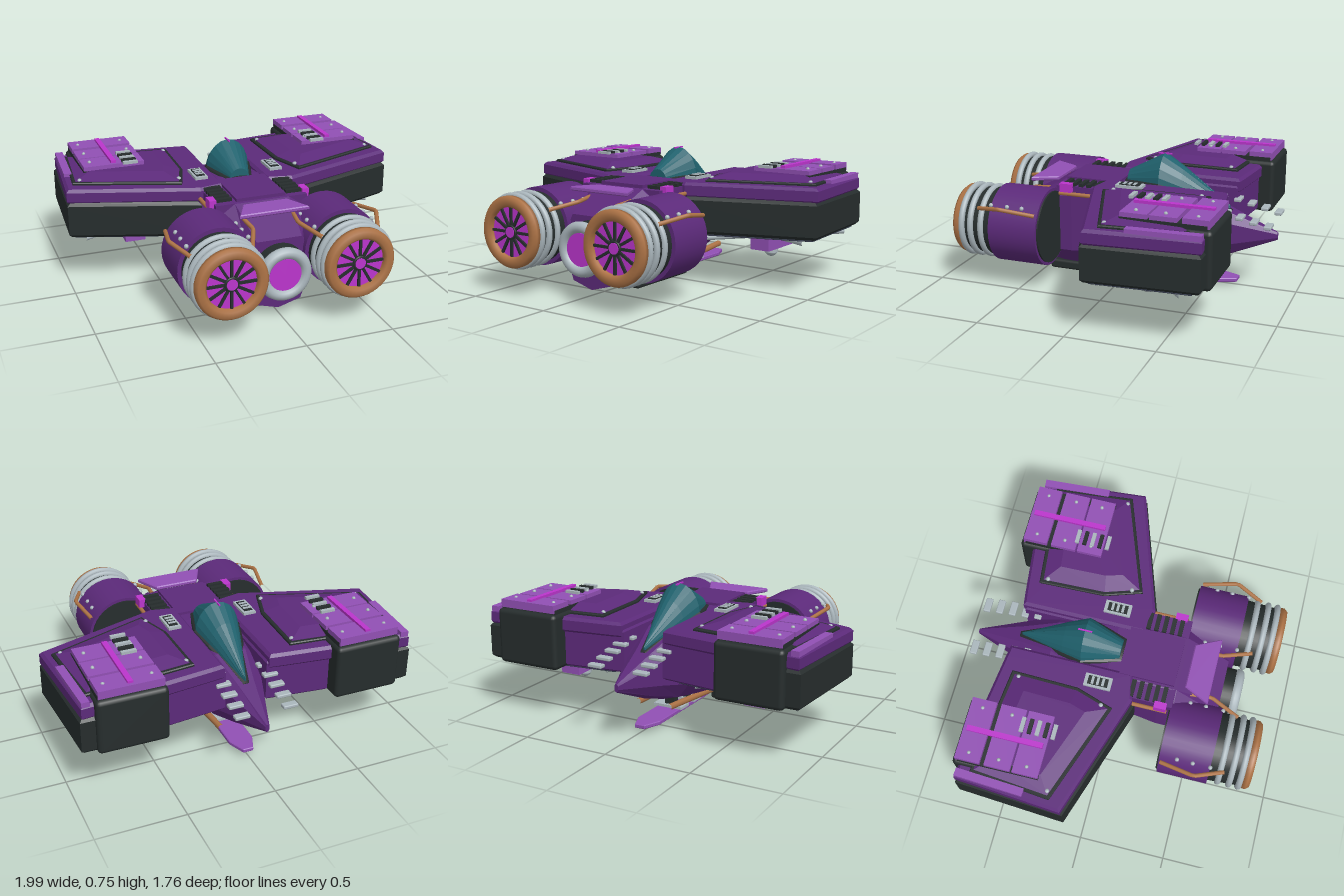
import * as THREE from 'three';
import { RoundedBoxGeometry } from 'three/addons/geometries/RoundedBoxGeometry.js';

const mat = (name, color) => {
  const m = new THREE.MeshStandardMaterial({ color });
  m.name = name;
  return m;
};

export function createModel() {
  const M = {
    purple: mat('deep purple', 0x5c2a7a), light: mat('light purple', 0x9150b4),
    magenta: mat('magenta', 0xbb35cc), black: mat('charcoal', 0x262d2d),
    gray: mat('light gray', 0xaab6bc), teal: mat('teal glass', 0x20626e),
    copper: mat('copper', 0xad7346), slate: mat('slate', 0x40475a),
  };
  const root = new THREE.Group();
  root.name = 'spacecraft';

  const add = (name, geo, m, x = 0, y = 0, z = 0, parent = root) => {
    const mesh = new THREE.Mesh(geo, m);
    mesh.name = name;
    mesh.position.set(x, y, z);
    parent.add(mesh);
    return mesh;
  };
  const box = (name, m, w, h, d, x, y, z, parent) => add(name, new THREE.BoxGeometry(w, h, d), m, x, y, z, parent);
  const rbox = (name, m, w, h, d, r, x, y, z, parent) => add(name, new RoundedBoxGeometry(w, h, d, 2, r), m, x, y, z, parent);
  // Cylinder along z
  const drum = (name, m, r1, r2, len, x, y, z, parent) =>
    add(name, new THREE.CylinderGeometry(r1, r2, len, 36).rotateX(Math.PI / 2), m, x, y, z, parent);
  const pipe = (name, m, pts, r, parent) => {
    const path = new THREE.CurvePath();
    const v = pts.map(p => new THREE.Vector3(...p));
    for (let i = 1; i < v.length; i++) path.add(new THREE.LineCurve3(v[i - 1], v[i]));
    return add(name, new THREE.TubeGeometry(path, 8 * (v.length - 1), r, 8), m, 0, 0, 0, parent);
  };
  // Plan outline of [x, z] points between two heights, with a chamfered edge
  const slab = (name, m, pts, y0, y1, bevel, parent, run = bevel) => {
    const shape = new THREE.Shape(pts.map(p => new THREE.Vector2(...p)));
    const geo = new THREE.ExtrudeGeometry(shape, {
      depth: y1 - y0 - 2 * bevel, bevelEnabled: bevel > 0, bevelThickness: bevel,
      bevelSize: run, bevelOffset: -run, bevelSegments: 1,
    }).rotateX(Math.PI / 2);
    return add(name, geo, m, 0, y1 - bevel, 0, parent);
  };
  // Faceted skin through rings of points, each counterclockwise seen from +z, ordered by rising z
  const loft = (name, m, rings) => {
    const pos = [];
    const tri = (...ps) => ps.forEach(p => pos.push(...p));
    const n = rings[0].length;
    for (let i = 0; i + 1 < rings.length; i++) {
      for (let j = 0; j < n; j++) {
        const k = (j + 1) % n, a = rings[i], b = rings[i + 1];
        tri(a[j], a[k], b[k]);
        tri(a[j], b[k], b[j]);
      }
    }
    const first = rings[0], last = rings[rings.length - 1];
    for (let j = 1; j + 1 < n; j++) {
      tri(first[0], first[j + 1], first[j]);
      tri(last[0], last[j], last[j + 1]);
    }
    const geo = new THREE.BufferGeometry();
    geo.setAttribute('position', new THREE.Float32BufferAttribute(pos, 3));
    geo.computeVertexNormals();
    return add(name, geo, m);
  };

  // Hull: z, top half width, side half width, top, shoulder, lower side, keel half width, keel
  const hull = [
    [-0.88, 0.005, 0.012, 0.345, 0.335, 0.315, 0.006, 0.3],
    [-0.6, 0.05, 0.105, 0.45, 0.4, 0.27, 0.06, 0.18],
    [-0.4, 0.09, 0.165, 0.53, 0.47, 0.23, 0.1, 0.115],
    [-0.05, 0.15, 0.22, 0.575, 0.5, 0.2, 0.13, 0.05],
    [0.27, 0.16, 0.26, 0.575, 0.51, 0.18, 0.14, 0],
    [0.36, 0.16, 0.26, 0.57, 0.5, 0.18, 0.14, 0.01],
    [0.61, 0.13, 0.17, 0.44, 0.36, 0.18, 0.13, 0.03],
  ];
  loft('hull', M.purple, hull.map(([z, wt, wm, yt, ys, yl, wl, yb]) => {
    const half = [[wl, yb + (yl - yb) * 0.25], [wm, yl], [wm, ys], [wt, yt]];
    return [[0, yb, z], ...half.map(([x, y]) => [x, y, z]), ...half.reverse().map(([x, y]) => [-x, y, z])];
  }));

  // Canopy and its dark sill
  const dome = (grow, lift, squash) => [
    [-0.6, 0.006, 0.44, 0.475], [-0.33, 0.095, 0.54, 0.67], [-0.21, 0.13, 0.575, 0.745], [0, 0.06, 0.57, 0.632],
  ].map(([z, w, b, t], i) => Array.from({ length: 11 }, (_, j) => {
    const a = Math.PI * j / 10;
    return [Math.cos(a) * (w + grow), b + lift + Math.sin(a) * (t - b) * squash, z + grow * [-1, 0, 0, 1][i]];
  }));
  loft('canopy', M.teal, dome(0, 0, 1));
  loft('canopySill', M.black, dome(0.014, 0, 0.25));
  box('canopyMark', M.magenta, 0.008, 0.008, 0.08, 0, 0.742, -0.21);

  // Spine plate and rear cowl
  box('spinePlate', M.purple, 0.29, 0.02, 0.32, 0, 0.58, 0.18);
  box('spineSeam', M.black, 0.3, 0.012, 0.015, 0, 0.58, 0.035);
  box('crossBeam', M.purple, 0.54, 0.05, 0.05, 0, 0.545, 0.33);
  slab('rearCowl', M.light, [[-0.13, 0.4], [0.13, 0.4], [0.2, 0.545], [-0.2, 0.545]], 0.555, 0.58, 0.006);

  // Centre thruster
  drum('centreNozzle', M.black, 0.145, 0.15, 0.13, 0, 0.27, 0.63);
  add('centreRing', new THREE.TorusGeometry(0.122, 0.032, 12, 40), M.gray, 0, 0.27, 0.69);
  drum('centreGlow', M.magenta, 0.092, 0.092, 0.01, 0, 0.27, 0.7);

  // Belly blade with its mounts
  slab('bellyBlade', M.light, [[-0.07, 0.02], [-0.07, -0.56], [-0.03, -0.66], [0.03, -0.66], [0.07, -0.56], [0.07, 0.02]], 0.025, 0.048, 0.004);
  for (const z of [-0.16, -0.31]) {
    box('bladeMount', M.black, 0.06, 0.1, 0.05, 0, 0.09, z);
    box('bladeClamp', M.gray, 0.18, 0.015, 0.09, 0, 0.057, z);
  }

  for (const s of [1, -1]) {
    const side = s > 0 ? 'left' : 'right';
    const mirror = pts => pts.map(([x, ...r]) => [x * s, ...r]);

    // Engine
    const e = new THREE.Group();
    e.name = side + 'Engine';
    e.position.set(s * 0.36, 0.35, 0);
    root.add(e);
    drum('engineDrum', M.purple, 0.222, 0.222, 0.29, 0, 0, 0.495, e);
    drum('drumBackPlate', M.black, 0.205, 0.205, 0.012, 0, 0, 0.347, e);
    drum('engineCore', M.black, 0.188, 0.2, 0.2, 0, 0, 0.735, e);
    for (const z of [0.7, 0.765, 0.82]) {
      add('coolingRing', new THREE.TorusGeometry(0.196, 0.018, 10, 44), M.gray, 0, 0, z, e);
    }
    const lip = new THREE.LatheGeometry([[0.14, 0.83], [0.198, 0.83], [0.2, 0.862], [0.185, 0.88], [0.152, 0.88], [0.138, 0.865], [0.14, 0.83]]
      .map(p => new THREE.Vector2(...p)), 44).rotateX(Math.PI / 2);
    lip.scale(1, 1, 1);
    add('copperLip', lip, M.copper, 0, 0, 0, e);
    drum('engineGlow', M.magenta, 0.142, 0.142, 0.01, 0, 0, 0.843, e);
    for (let i = 0; i < 12; i++) {
      const a = i * Math.PI / 6;
      const spoke = box('turbineSpoke', M.black, 0.115, 0.014, 0.012, Math.cos(a) * 0.085, Math.sin(a) * 0.085, 0.854, e);
      spoke.rotation.z = a;
    }
    add('hubRing', new THREE.TorusGeometry(0.034, 0.008, 8, 24), M.black, 0, 0, 0.856, e);
    drum('turbineHub', M.magenta, 0.03, 0.03, 0.02, 0, 0, 0.857, e);
    for (const x of [-0.17, 0.17]) for (const z of [0.45, 0.54, 0.64]) {
      add('engineRivet', new THREE.SphereGeometry(0.013, 8, 6), M.gray, x, 0.145, z, e);
    }

    // Copper piping
    pipe('outerPipe', M.copper, mirror([[0.56, 0.47, 0.36], [0.6, 0.5, 0.56], [0.53, 0.47, 0.72]]), 0.012);
    pipe('innerPipe', M.copper, mirror([[0.15, 0.52, 0.4], [0.13, 0.5, 0.56], [0.2, 0.47, 0.73]]), 0.012);
    pipe('shoulderPipe', M.copper, mirror([[0.285, 0.53, 0.13], [0.285, 0.53, 0.33]]), 0.012);
    pipe('bellyPipe', M.copper, mirror([[0.13, 0.08, 0.1], [0.12, 0.085, -0.05], [0.1, 0.118, -0.51]]), 0.018);
    rbox('bellyPod', M.black, 0.08, 0.055, 0.48, 0.015, s * 0.15, 0.055, 0.2);

    // Dorsal slats, vents and nose fins
    for (let i = 0; i < 6; i++) box('dorsalSlat', M.black, 0.1, 0.02, 0.025, s * 0.21, 0.578, 0.07 + i * 0.046);
    box('dorsalBed', M.purple, 0.12, 0.05, 0.3, s * 0.205, 0.545, 0.19);
    box('shoulderLamp', M.magenta, 0.04, 0.05, 0.07, s * 0.275, 0.565, 0.29);
    box('ventFrame', M.gray, 0.075, 0.02, 0.155, s * 0.23, 0.598, -0.08);
    box('ventWell', M.black, 0.05, 0.006, 0.115, s * 0.23, 0.609, -0.08);
    for (const z of [-0.11, -0.08, -0.05]) box('ventSlat', M.gray, 0.045, 0.008, 0.015, s * 0.23, 0.612, z);
    for (let i = 0; i < 5; i++) {
      rbox('noseFin', M.gray, 0.085, 0.02, 0.042, 0.006, s * 0.138, 0.42 + i * 0.018, -0.855 + i * 0.08);
    }

    // Wing
    const w = new THREE.Group();
    w.name = side + 'Wing';
    root.add(w);
    const outer = mirror([[0.28, 0.145], [0.995, -0.09], [0.955, -0.71], [0.49, -0.71], [0.46, -0.1], [0.28, 0]]);
    slab('wingArmour', M.black, outer, 0.305, 0.515, 0.018, w);
    slab('wingRoot', M.purple, mirror([[0.12, -0.61], [0.48, -0.65], [0.48, 0], [0.28, 0.1], [0.12, 0.1]]), 0.31, 0.55, 0.01, w);
    slab('wingTop', M.purple, mirror([[0.13, -0.62], [0.2, -0.63], [0.49, -0.665], [0.945, -0.71], [0.995, -0.1], [0.28, 0.13], [0.13, 0.1]]), 0.505, 0.592, 0.016, w);
    slab('wingUnderside', M.slate, mirror([[0.2, -0.58], [0.93, -0.66], [0.96, -0.12], [0.3, 0.1], [0.2, 0.06]]), 0.292, 0.315, 0.004, w);
    rbox('rearPod', M.black, 0.39, 0.315, 0.22, 0.025, s * 0.68, 0.455, -0.63, w);
    slab('deckTrim', M.black, mirror([[0.28, -0.565], [0.29, -0.18], [0.36, 0.035], [0.945, -0.17], [0.9, -0.63]]), 0.58, 0.606, 0.005, w);
    slab('raisedDeck', M.purple, mirror([[0.3, -0.545], [0.31, -0.18], [0.372, 0.012], [0.925, -0.183], [0.885, -0.61]]), 0.57, 0.636, 0.028, w, 0.09);

    // Deck panels with a running stripe
    [[-0.65, 0.14], [-0.482, 0.145], [-0.325, 0.145]].forEach(([z, d], i) => {
      box('deckPanel', M.light, 0.355, 0.045, d, s * 0.68, 0.637 + (i === 0 ? 0.004 : 0), z, w);
      for (const x of [0.55, 0.81]) add('deckRivet', new THREE.SphereGeometry(0.011, 8, 6), M.gray, s * x, 0.661, z, w);
    });
    box('panelSeam', M.black, 0.36, 0.03, 0.46, s * 0.68, 0.62, -0.48, w);
    box('deckStripe', M.magenta, 0.03, 0.016, 0.43, s * 0.68, 0.668, -0.485, w);
    for (let i = 0; i < 5; i++) {
      box('deckLouvre', i % 2 ? M.black : M.gray, 0.085, 0.016, 0.022, s * 0.59, 0.668, -0.41 + i * 0.045, w);
    }
    for (const [x, z] of [[0.31, -0.52], [0.36, -0.03], [0.9, -0.19]]) {
      add('cornerRivet', new THREE.SphereGeometry(0.014, 8, 6), M.gray, s * x, 0.606, z, w);
    }
    const rail = box('edgeRail', M.light, 0.045, 0.03, 0.39, s * 0.93, 0.596, -0.51, w);
    rail.rotation.y = s * 0.06;

    // Underwing mount with struts
    box('mountBlock', M.light, 0.12, 0.1, 0.28, s * 0.59, 0.24, -0.32, w);
    add('mountPost', new THREE.CylinderGeometry(0.04, 0.04, 0.05, 20), M.gray, s * 0.59, 0.185, -0.315, w);
    add('mountTip', new THREE.SphereGeometry(0.04, 20, 12), M.gray, s * 0.59, 0.175, -0.315, w);
    for (const [x, z] of [[0.91, -0.6], [0.9, -0.13], [0.36, 0.05], [0.27, -0.53]]) {
      pipe('strut', M.gray, mirror([[0.59, 0.265, -0.3], [x, 0.275, z]]), 0.016, w);
    }
  }
  return root;
}
